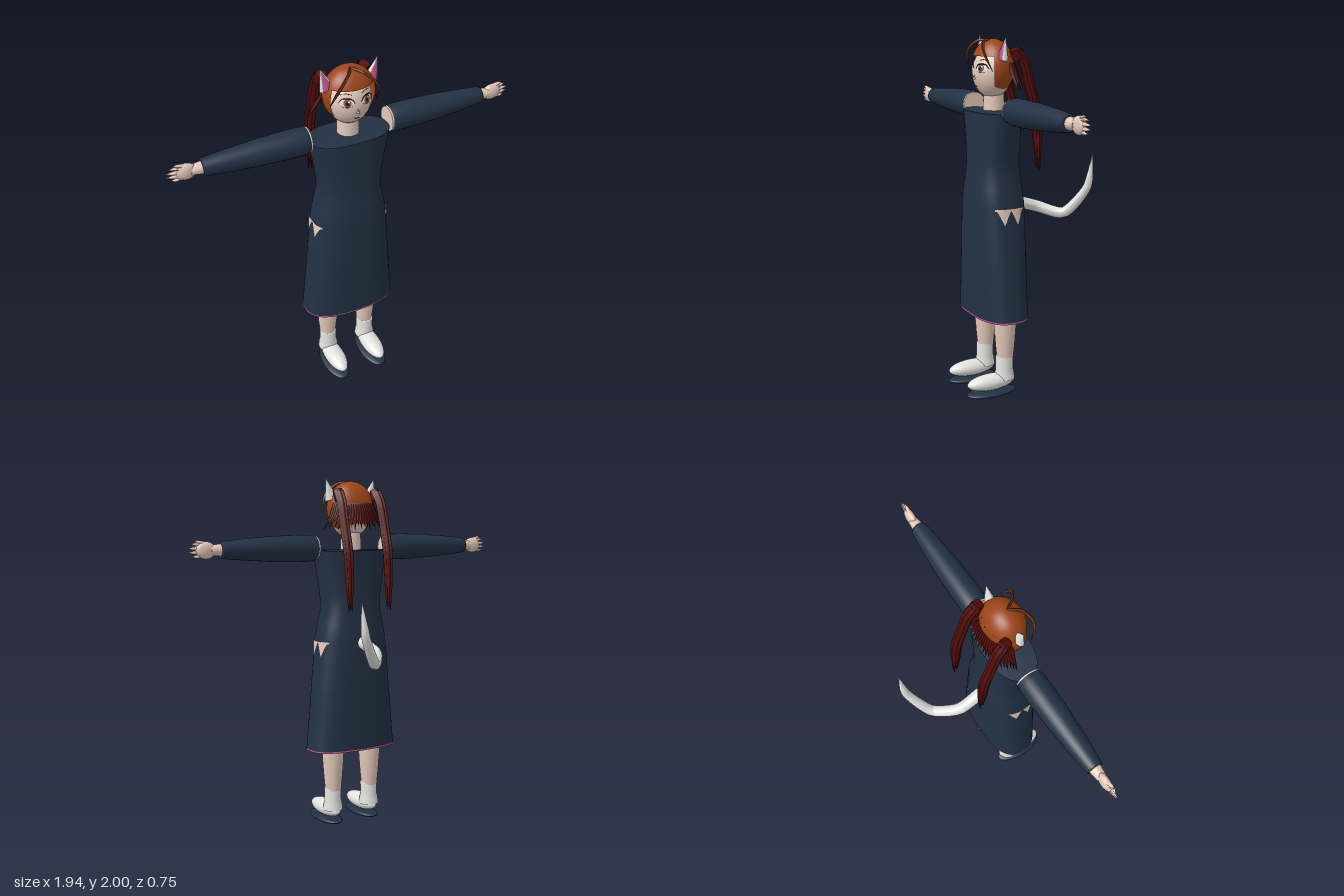
import * as THREE from 'three';

const mat = (name, color) => {
  const m = new THREE.MeshStandardMaterial({ color, side: THREE.DoubleSide });
  m.name = name;
  return m;
};
const navy = mat('navy cloth', 0x223144), skin = mat('skin', 0xe4c8ba), white = mat('white', 0xe2e2e0);
const orange = mat('orange hair', 0x9c4519), red = mat('dark red hair', 0x520e0c), brown = mat('brown strand', 0x6e3013);
const pink = mat('pink', 0xc4568f), black = mat('black', 0x1c1517), iris = mat('iris brown', 0x8f5238);

const V = (x, y, z) => new THREE.Vector3(x, y, z);
const POWER = 2.6, BODY_Z = 0.14;
const HEAD = { c: V(0, 1.805, 0.14), r: V(0.118, 0.135, 0.105) };

function add(parent, name, geometry, material, pos = [0, 0, 0], rot = [0, 0, 0]) {
  const m = new THREE.Mesh(geometry, material);
  m.name = name;
  m.position.set(...pos);
  m.rotation.set(...rot);
  parent.add(m);
  return m;
}

const ellipsoid = (rx, ry, rz, ...args) => new THREE.SphereGeometry(1, 32, 20, ...args).scale(rx, ry, rz);
const lathe = (pts, n = 28) => new THREE.LatheGeometry(pts.map(p => new THREE.Vector2(...p)), n);

// Tube through points whose radius follows a list of values
function taper(pts, radii, segs = 16, sides = 8) {
  const curve = new THREE.CatmullRomCurve3(pts.map(p => V(...p)), false, 'catmullrom', 0.35);
  const g = new THREE.TubeGeometry(curve, segs, 1, sides);
  const pos = g.attributes.position, v = V(0, 0, 0);
  for (let i = 0; i <= segs; i++) {
    const c = curve.getPointAt(i / segs), f = (i / segs) * (radii.length - 1);
    const k = Math.min(Math.floor(f), radii.length - 2);
    const r = THREE.MathUtils.lerp(radii[k], radii[k + 1], f - k);
    for (let j = 0; j <= sides; j++) {
      const n = i * (sides + 1) + j;
      v.fromBufferAttribute(pos, n).sub(c).multiplyScalar(r).add(c);
      pos.setXYZ(n, v.x, v.y, v.z);
    }
  }
  g.computeVertexNormals();
  return g;
}

// Loft of rounded oval rows [y, rx, rz]
function loft(rows, n = 48) {
  const pos = [], idx = [];
  const bend = t => Math.sign(t) * Math.abs(t) ** (2 / POWER);
  rows.forEach(([y, rx, rz], i) => {
    for (let j = 0; j < n; j++) {
      const a = (j / n) * Math.PI * 2;
      pos.push(rx * bend(Math.cos(a)), y, BODY_Z + rz * bend(Math.sin(a)));
      if (i === rows.length - 1) continue;
      const p = i * n + j, q = i * n + (j + 1) % n;
      idx.push(p, p + n, q, p + n, q + n, q);
    }
  });
  const g = new THREE.BufferGeometry();
  g.setAttribute('position', new THREE.Float32BufferAttribute(pos, 3));
  g.setIndex(idx);
  g.computeVertexNormals();
  return g;
}

// Depth of the face surface at a point
const faceZ = (x, y) => HEAD.c.z + HEAD.r.z *
  Math.sqrt(Math.max(0, 1 - (x / HEAD.r.x) ** 2 - ((y - HEAD.c.y) / HEAD.r.y) ** 2));

// Oval painted on the face
function faceOval(x, y, rx, ry, lift) {
  const g = new THREE.RingGeometry(0.001, 1, 24, 4).scale(rx, ry, 1).translate(x, y, 0);
  const p = g.attributes.position;
  for (let i = 0; i < p.count; i++) p.setZ(i, faceZ(p.getX(i), p.getY(i)) + lift);
  g.computeVertexNormals();
  return g;
}
const faceLine = (pts, r) => taper(pts.map(([x, y]) => [x, y, faceZ(x, y) + 0.002]), [r * 0.4, r, r * 0.4], 12, 5);

function buildDress(g) {
  add(g, 'dress', loft([[0.46, 0.27, 0.145], [0.8, 0.237, 0.145], [1.1, 0.208, 0.145], [1.19, 0.19, 0.136],
    [1.27, 0.173, 0.126], [1.34, 0.177, 0.121], [1.45, 0.194, 0.12], [1.6, 0.222, 0.12]]), navy);
  add(g, 'shoulderTop', loft([[1.6, 0.222, 0.12], [1.604, 0.05, 0.05]]), navy);
  add(g, 'hem', loft([[0.458, 0.2725, 0.1475], [0.467, 0.2715, 0.1475]]), pink);
  // Toothed openings at the hips
  for (const s of [-1, 1]) {
    const p = new THREE.PlaneGeometry(1, 1, 28, 4), a = p.attributes.position;
    for (let i = 0; i < a.count; i++) {
      const u = a.getX(i) + 0.5, v = 0.5 - a.getY(i);
      const tooth = Math.max(0, 1 - Math.abs(u - 0.28) / 0.21, 1 - Math.abs(u - 0.73) / 0.21);
      const y = 1.09 - v * (0.01 + 0.08 * tooth), z = 0.05 + 0.175 * u;
      const rx = 0.27 - 0.062 * (y - 0.46) / 0.64;
      a.setXYZ(i, s * (0.005 + rx * (1 - Math.abs((z - BODY_Z) / 0.145) ** POWER) ** (1 / POWER)), y, z);
    }
    p.computeVertexNormals();
    add(g, 'hipOpening', p, skin);
  }
}

function buildArm(g, s) {
  const arm = new THREE.Group();
  arm.name = s > 0 ? 'leftArm' : 'rightArm';
  arm.position.set(0, 1.615, 0.135);
  g.add(arm);
  const turn = [0, 0, -s * Math.PI / 2];
  add(arm, 'sleeve', lathe([[0.068, 0.235], [0.074, 0.27], [0.074, 0.36], [0.069, 0.5], [0.058, 0.66],
    [0.046, 0.785], [0.042, 0.795], [0.025, 0.79]]), navy, [0, 0, 0], turn);
  add(arm, 'shoulderEnd', new THREE.CylinderGeometry(0.067, 0.067, 0.015, 28), skin, [s * 0.234, 0, 0], turn);
  add(arm, 'wrist', new THREE.CylinderGeometry(0.026, 0.036, 0.08, 16), skin, [s * 0.81, 0, 0], turn);
  add(arm, 'palm', ellipsoid(0.055, 0.046, 0.024), skin, [s * 0.873, 0, 0]);
  const tips = [[0.93, 0.046], [0.955, 0.031], [0.972, 0.01], [0.97, -0.011], [0.95, -0.032]];
  for (const [x, y] of tips) {
    add(arm, 'finger', taper([[s * 0.88, y * 0.75, 0], [s * 0.925, y * 1.02, 0.004], [s * x, y, 0]],
      [0.012, 0.011, 0.009, 0.001], 10), skin);
  }
}

function buildLeg(g, s) {
  const leg = new THREE.Group();
  leg.name = s > 0 ? 'leftLeg' : 'rightLeg';
  leg.position.x = s * 0.123;
  g.add(leg);
  add(leg, 'shin', lathe([[0, 0.95], [0.07, 0.94], [0.065, 0.5], [0.062, 0.4], [0.054, 0.29], [0.046, 0.21]].reverse()),
    skin, [0, 0, 0.13]);
  add(leg, 'sock', lathe([[0.058, 0.09], [0.055, 0.12], [0.049, 0.15], [0.05, 0.222], [0.044, 0.223]]), white, [0, 0, 0.135]);
  add(leg, 'shoe', ellipsoid(0.057, 0.046, 0.146), white, [0, 0.083, 0.22]);
  add(leg, 'sole', ellipsoid(0.07, 0.022, 0.152), navy, [0, 0.022, 0.218]);
}

function buildFace(g) {
  add(g, 'head', ellipsoid(...HEAD.r.toArray()), skin, HEAD.c.toArray());
  add(g, 'neck', new THREE.CylinderGeometry(0.055, 0.06, 0.13, 24), skin, [0, 1.65, 0.13]);
  add(g, 'nose', new THREE.ConeGeometry(0.008, 0.025, 8), skin, [0, 1.785, faceZ(0, 1.785) + 0.003]);
  add(g, 'mouth', faceLine([[-0.014, 1.737], [0, 1.734], [0.014, 1.737]], 0.002), brown);
  for (const s of [-1, 1]) {
    const x = s * 0.054, y = 1.832;
    add(g, 'eyeWhite', faceOval(x, y, 0.034, 0.023, 0.002), white);
    add(g, 'iris', faceOval(x, y, 0.018, 0.021, 0.0035), iris);
    add(g, 'pupil', faceOval(x, y, 0.009, 0.012, 0.005), black);
    add(g, 'eyeGlint', faceOval(x + 0.006, y + 0.009, 0.005, 0.005, 0.006), white);
    add(g, 'upperLash', faceLine([[x - 0.036, y], [x - 0.02, y + 0.02], [x + 0.02, y + 0.02], [x + 0.036, y]], 0.004), black);
    add(g, 'lowerLash', faceLine([[x - 0.025, y - 0.017], [x, y - 0.023], [x + 0.025, y - 0.017]], 0.0018), black);
    add(g, 'eyebrow', faceLine([[x - 0.026, y + 0.04], [x, y + 0.046], [x + 0.026, y + 0.04]], 0.0025), brown);
  }
}

function buildHair(g) {
  // Cap above the forehead, and a back shell open at the face
  const c = [0, 1.835, 0.135], split = Math.acos(0.4), open = 1.08;
  add(g, 'hairCap', ellipsoid(0.14, 0.15, 0.11, 0, Math.PI * 2, 0, split), orange, c);
  add(g, 'hairBack', ellipsoid(0.14, 0.15, 0.11, Math.PI / 2 + open, 2 * (Math.PI - open), split, Math.PI - split), orange, c);
  // Shaggy fringe around the nape
  for (let i = 0; i < 26; i++) {
    const a = THREE.MathUtils.lerp(-1.2, 1.2, i / 25), sx = Math.sin(a), cz = Math.cos(a);
    const drop = 0.03 * ((i * 7) % 5) / 4;
    add(g, 'napeLock', taper([[0.13 * sx, 1.86, 0.135 - 0.1 * cz], [0.155 * sx, 1.8, 0.135 - 0.122 * cz],
      [0.215 * sx, 1.715 + drop, 0.135 - 0.142 * cz]], [0.01, 0.012, 0.008, 0.001], 8, 5), red);
  }
  for (const s of [-1, 1]) {
    // Bundled pigtail
    for (let k = 0; k < 7; k++) {
      const a = (k / 6) * Math.PI * 2, r = k === 6 ? 0 : 0.017, dx = r * Math.cos(a), dz = r * Math.sin(a);
      add(g, 'pigtailStrand', taper([[s * 0.12 + dx, 1.925, 0.055 + dz], [s * 0.125 + dx, 1.86, 0.012 + dz],
        [s * 0.128 + dx, 1.73, -0.025 + dz], [s * 0.127 + dx, 1.58, -0.062 + dz],
        [s * 0.125 + dx * 0.6, 1.27 + 0.015 * (k % 4), -0.078 + dz * 0.6]],
        [0.015, 0.014, 0.014, 0.013, 0.011, 0.002], 24, 6), red);
    }
    add(g, 'pigtailBase', new THREE.CylinderGeometry(0.028, 0.03, 0.06, 12), red, [s * 0.12, 1.905, 0.055], [0.5, 0, 0]);
    // Thin strand parted over the forehead
    add(g, 'frontStrand', taper([[0, 1.978, 0.15], [s * 0.035, 1.975, 0.205], [s * 0.085, 1.935, 0.235],
      [s * 0.118, 1.885, 0.232], [s * 0.135, 1.82, 0.205]], [0.007, 0.008, 0.008, 0.002], 20, 6), brown);
    // Pointed ear with pink inside
    const ear = new THREE.Group();
    ear.name = s > 0 ? 'leftEar' : 'rightEar';
    ear.position.set(s * 0.139, 1.942, 0.137);
    ear.rotation.z = -s * 0.3;
    g.add(ear);
    add(ear, 'earShell', new THREE.ConeGeometry(0.04, 0.122, 20).scale(1, 1, 0.6), white);
    add(ear, 'earInside', new THREE.ConeGeometry(0.038, 0.108, 10, 1, true, -0.85, 1.7).scale(1, 1, 0.6),
      pink, [0, -0.004, 0.004]);
  }
}

export function createModel() {
  const g = new THREE.Group();
  g.name = 'figure';
  buildDress(g);
  for (const s of [-1, 1]) {
    buildArm(g, s);
    buildLeg(g, s);
  }
  buildFace(g);
  buildHair(g);
  // Bent tail
  add(g, 'tail', taper([[0, 1.09, 0.02], [0, 1.04, -0.14], [0.09, 1.005, -0.27], [0.195, 1.16, -0.355],
    [0.228, 1.35, -0.368]], [0.035, 0.034, 0.032, 0.028, 0.022, 0.002], 28, 14), white);
  return g;
}
